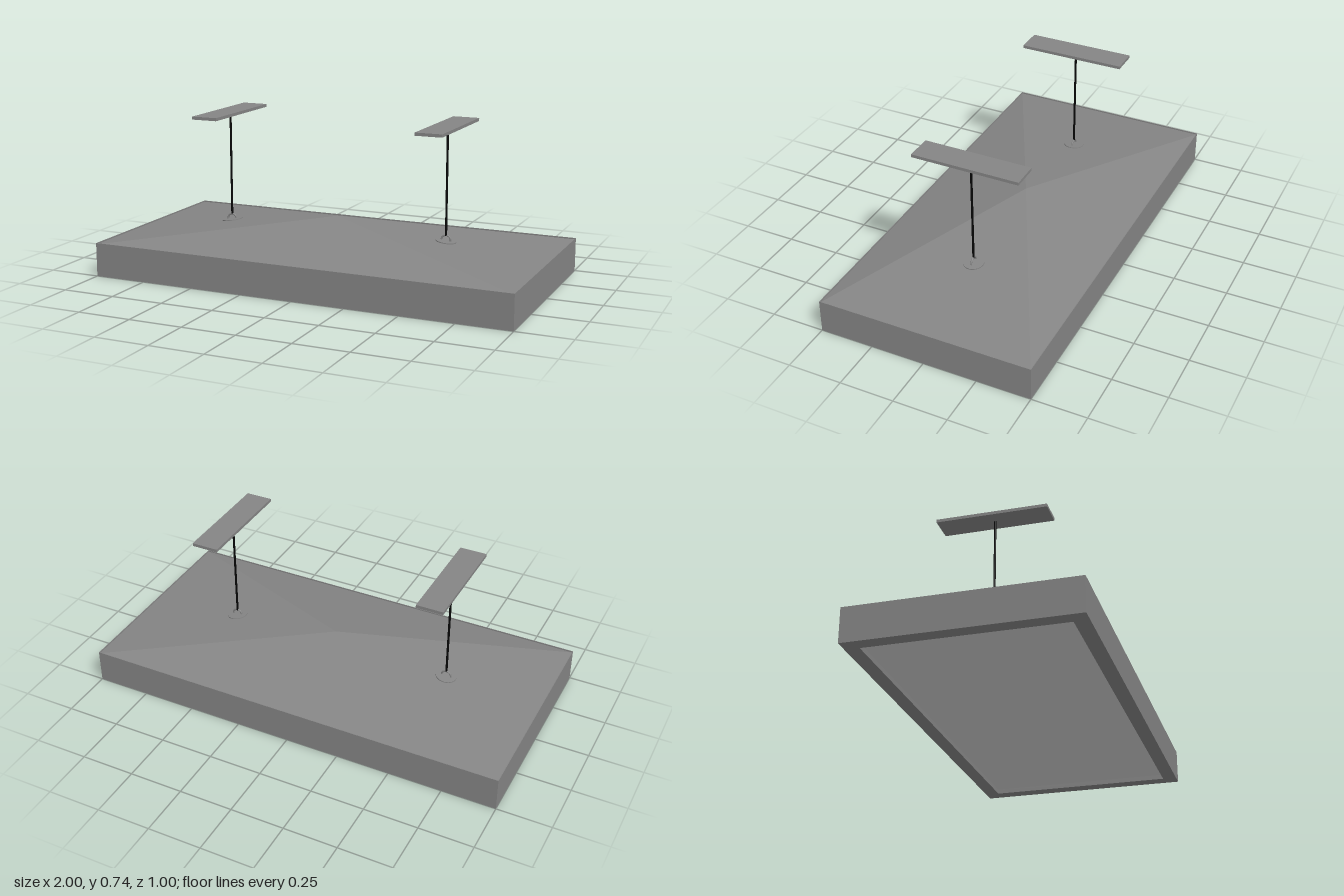
import * as THREE from 'three';

const metal = new THREE.MeshStandardMaterial({ color: 0x858585 });
const roofMetal = new THREE.MeshStandardMaterial({ color: 0x858585, flatShading: true, side: THREE.DoubleSide });
const black = new THREE.MeshStandardMaterial({ color: 0x050505 });
const panelGrey = new THREE.MeshStandardMaterial({ color: 0xcccccc });

const W = 2, D = 1, WALL_TOP = 0.158, EAVE = 0.152, PEAK = 0.277;
const SLOPE = (PEAK - EAVE) / (W / 2);

function addMesh(parent, name, geometry, material, x = 0, y = 0, z = 0) {
  const mesh = new THREE.Mesh(geometry, material);
  mesh.name = name;
  mesh.position.set(x, y, z);
  parent.add(mesh);
  return mesh;
}

// Rectangular ring of width t, lying flat and rising from y = 0 to y = h
function frameGeometry(t, h) {
  const rect = (Type, a, b) => new Type([
    new THREE.Vector2(-a, -b), new THREE.Vector2(a, -b),
    new THREE.Vector2(a, b), new THREE.Vector2(-a, b),
  ]);
  const shape = rect(THREE.Shape, W / 2, D / 2);
  shape.holes.push(rect(THREE.Path, W / 2 - t, D / 2 - t));
  return new THREE.ExtrudeGeometry(shape, { depth: h, bevelEnabled: false }).rotateX(-Math.PI / 2);
}

// Four-sided roof with its peak over the centre
function roofGeometry() {
  const x = W / 2 - 0.003, z = D / 2 - 0.003;
  const corners = [[-x, z], [x, z], [x, -z], [-x, -z]];
  const points = [];
  corners.forEach(([ax, az], i) => {
    const [bx, bz] = corners[(i + 1) % 4];
    points.push(ax, EAVE, az, bx, EAVE, bz, 0, PEAK, 0);
  });
  const geometry = new THREE.BufferGeometry();
  geometry.setAttribute('position', new THREE.Float32BufferAttribute(points, 3));
  geometry.computeVertexNormals();
  return geometry;
}

// Ceiling plate, black rod, ring and the disc that sits on the roof slope
function createHanger(name, x) {
  const hanger = new THREE.Group();
  hanger.name = name;
  hanger.position.x = x;
  const roofY = PEAK - SLOPE * Math.abs(x);
  addMesh(hanger, 'ceilingPlate', new THREE.BoxGeometry(0.124, 0.014, 0.5), metal, 0, 0.73, 0);
  addMesh(hanger, 'rod', new THREE.CylinderGeometry(0.005, 0.005, 0.49, 16), black, 0, 0.48, 0);
  addMesh(hanger, 'ring', new THREE.TorusGeometry(0.022, 0.004, 10, 28), metal, 0, roofY + 0.005, 0);
  const disc = addMesh(hanger, 'mountingDisc', new THREE.CylinderGeometry(0.048, 0.048, 0.006, 32), metal, 0, roofY + 0.001, 0);
  disc.rotation.z = -Math.sign(x) * Math.atan(SLOPE);
  return hanger;
}

export function createModel() {
  const model = new THREE.Group();
  model.name = 'hangingLamp';

  // Shade: thin walls, wide bottom rim, recessed light panel and roof
  addMesh(model, 'shadeWalls', frameGeometry(0.003, WALL_TOP), metal);
  addMesh(model, 'bottomRim', frameGeometry(0.065, 0.022), metal);
  addMesh(model, 'lightPanel', new THREE.BoxGeometry(W - 0.1, 0.01, D - 0.1), panelGrey, 0, 0.027, 0);
  addMesh(model, 'roof', roofGeometry(), roofMetal);

  model.add(createHanger('rightHanger', -0.557), createHanger('leftHanger', 0.531));
  return model;
}
